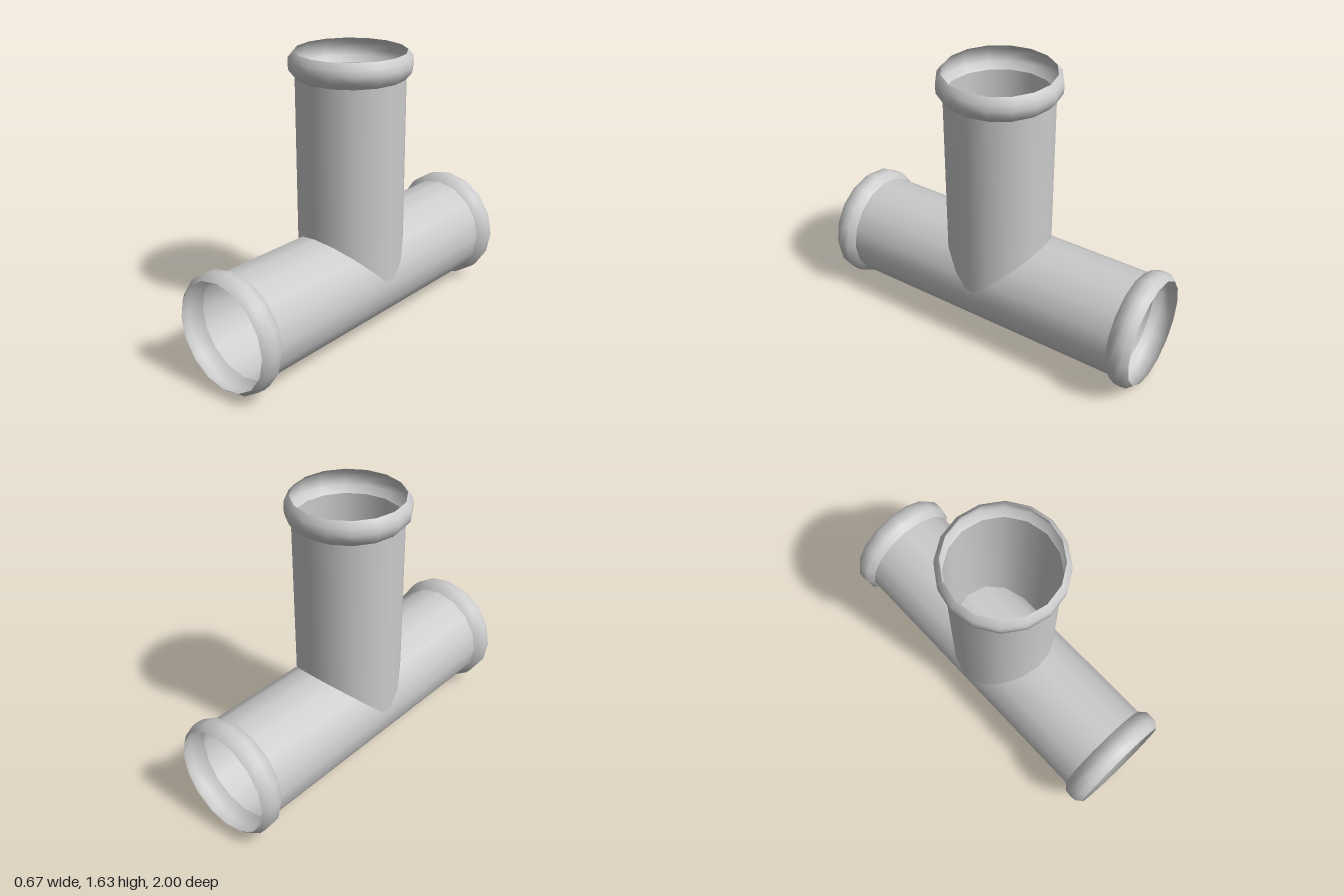
import * as THREE from 'three';

const SIDES = 16;
const PIPE_R = 0.3;
const RIM_R = 0.336;
const AXIS_Y = RIM_R; // height of the horizontal pipe's axis
const COLLAR = 0.14; // length of each swollen end

const material = new THREE.MeshStandardMaterial({ color: 0xcccccc, side: THREE.DoubleSide });

// Open thin surface of revolution about y, from [radius, height] pairs
function turned(name, profile) {
  const points = profile.map(([r, y]) => new THREE.Vector2(r, y));
  const mesh = new THREE.Mesh(new THREE.LatheGeometry(points, SIDES), material);
  mesh.name = name;
  return mesh;
}

function pipe(name, from, to) {
  return turned(name, [[PIPE_R, from], [PIPE_R, to]]);
}

// Hollow bead that swells out from the pipe and closes in again at the mouth
function collar(name, start) {
  const mesh = turned(name, [
    [PIPE_R, 0],
    [RIM_R - 0.003, 0.036],
    [RIM_R, 0.07],
    [RIM_R - 0.003, 0.108],
    [0.305, COLLAR],
  ]);
  mesh.position.y = start;
  return mesh;
}

export function createModel() {
  const model = new THREE.Group();
  model.name = 'pipeTee';

  // Horizontal pipe, front to back, with a collar at each end
  const run = new THREE.Group();
  run.name = 'mainPipe';
  run.add(pipe('mainTube', -1 + COLLAR, 1 - COLLAR));
  for (const [name, turn] of [['frontCollar', 0], ['backCollar', Math.PI]]) {
    const end = new THREE.Group();
    end.name = name;
    end.rotation.x = turn;
    end.add(collar(name + 'Bead', 1 - COLLAR));
    run.add(end);
  }
  run.rotation.x = Math.PI / 2;
  run.position.y = AXIS_Y;
  model.add(run);

  // Upright branch, its open foot reaching into the main pipe
  const branch = new THREE.Group();
  branch.name = 'branchPipe';
  const top = 1.635;
  branch.add(pipe('branchTube', 0.375, top - COLLAR), collar('branchCollar', top - COLLAR));
  model.add(branch);

  return model;
}
